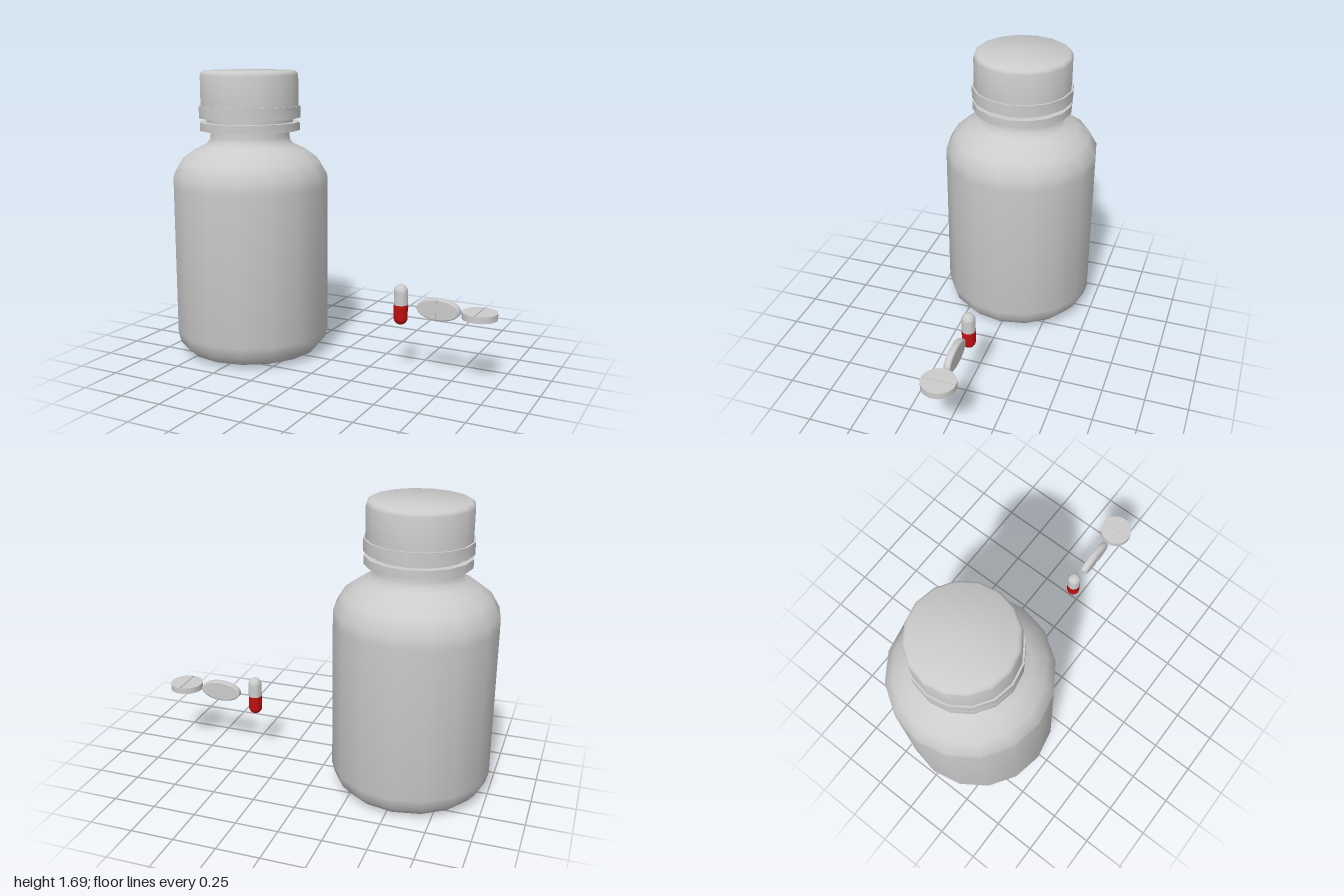
import * as THREE from 'three';
import { toCreasedNormals } from 'three/addons/utils/BufferGeometryUtils.js';

const material = (color = 0xcccccc) => new THREE.MeshStandardMaterial({ color });
const grey = material();

function addMesh(parent, name, geometry, mat = grey) {
  const mesh = new THREE.Mesh(geometry, mat);
  mesh.name = name;
  parent.add(mesh);
  return mesh;
}

// Turned part from [radius, height] pairs, running bottom to top
function turned(profile, sides = 16, crease = 0.8) {
  const points = profile.map(([r, y]) => new THREE.Vector2(r, y));
  return toCreasedNormals(new THREE.LatheGeometry(points, sides), crease);
}

// Elliptical arc, closed into a shape
function ellipse(rx, ry, from = 0, to = Math.PI * 2, steps = 32) {
  const points = [];
  const count = to - from > 6 ? steps : steps + 1;
  for (let i = 0; i < count; i++) {
    const a = from + ((to - from) * i) / steps;
    points.push(new THREE.Vector2(rx * Math.cos(a), ry * Math.sin(a)));
  }
  return new THREE.Shape(points);
}

// Flat tablet facing +z: a core with two raised halves leaving a score line
function scoredTablet(name, rx, ry, thickness, bevel, gap) {
  const tablet = new THREE.Group();
  tablet.name = name;
  const raise = 0.005;
  const edge = bevel * 0.6;
  const core = new THREE.ExtrudeGeometry(ellipse(rx - bevel, ry - bevel), {
    depth: thickness - raise - edge * 2,
    bevelEnabled: bevel > 0, bevelSize: bevel, bevelThickness: edge, bevelSegments: 1,
  });
  core.translate(0, 0, -thickness / 2 + edge);
  addMesh(tablet, 'tabletCore', toCreasedNormals(core, 0.5));

  const start = Math.acos(gap / 2 / (rx - bevel));
  [-start, Math.PI - start].forEach((from, i) => {
    const half = new THREE.ExtrudeGeometry(
      ellipse(rx - bevel, ry - bevel, from, from + start * 2, 20),
      { depth: raise, bevelEnabled: false });
    half.translate(0, 0, thickness / 2 - raise);
    addMesh(tablet, i ? 'tabletRightHalf' : 'tabletLeftHalf', toCreasedNormals(half, 0.5));
  });
  return tablet;
}

export function createModel() {
  const model = new THREE.Group();
  model.name = 'pillBottleSet';

  // Bottle with closed cap
  const bottle = new THREE.Group();
  bottle.name = 'bottle';
  bottle.position.x = -0.54;
  model.add(bottle);
  addMesh(bottle, 'bottleBody', turned([
    [0, 0], [0.32, 0], [0.4, 0.025], [0.443, 0.075], [0.46, 0.14],
    [0.46, 1.02], [0.459, 1.085], [0.41, 1.17], [0.335, 1.225], [0.265, 1.258],
    [0.242, 1.285], [0.236, 1.31], [0.236, 1.4], [0, 1.4],
  ]));
  addMesh(bottle, 'tamperRing', turned([
    [0.23, 1.345], [0.297, 1.345], [0.297, 1.393], [0.23, 1.393],
  ]));
  addMesh(bottle, 'capCollar', turned([[0.257, 1.385], [0.257, 1.425]]));
  addMesh(bottle, 'cap', turned([
    [0, 1.418], [0.301, 1.418], [0.301, 1.487], [0.29, 1.487],
    [0.29, 1.665], [0.285, 1.681], [0.272, 1.69], [0, 1.69],
  ]));

  // Two-tone capsule
  const capsule = new THREE.Group();
  capsule.name = 'capsule';
  capsule.position.set(0.44, 0.402, 0);
  model.add(capsule);
  const halfProfile = [[0.04, 0]];
  for (let i = 0; i <= 8; i++) {
    const a = (i / 8) * Math.PI / 2;
    halfProfile.push([0.04 * Math.cos(a), 0.077 + 0.04 * Math.sin(a)]);
  }
  addMesh(capsule, 'capsuleTop', turned(halfProfile, 24), material(0xffffff));
  addMesh(capsule, 'capsuleBottom', turned(halfProfile, 24), material(0xc01010)).rotation.x = Math.PI;

  // Upright oval tablet, scored on the front
  const oval = scoredTablet('ovalTablet', 0.126, 0.063, 0.042, 0.008, 0.016);
  oval.position.set(0.665, 0.402, 0);
  model.add(oval);

  // Flat round tablet, scored on top
  const round = scoredTablet('roundTablet', 0.098, 0.098, 0.037, 0, 0.006);
  round.position.set(0.902, 0.402, 0);
  round.rotation.x = -Math.PI / 2;
  model.add(round);

  return model;
}
